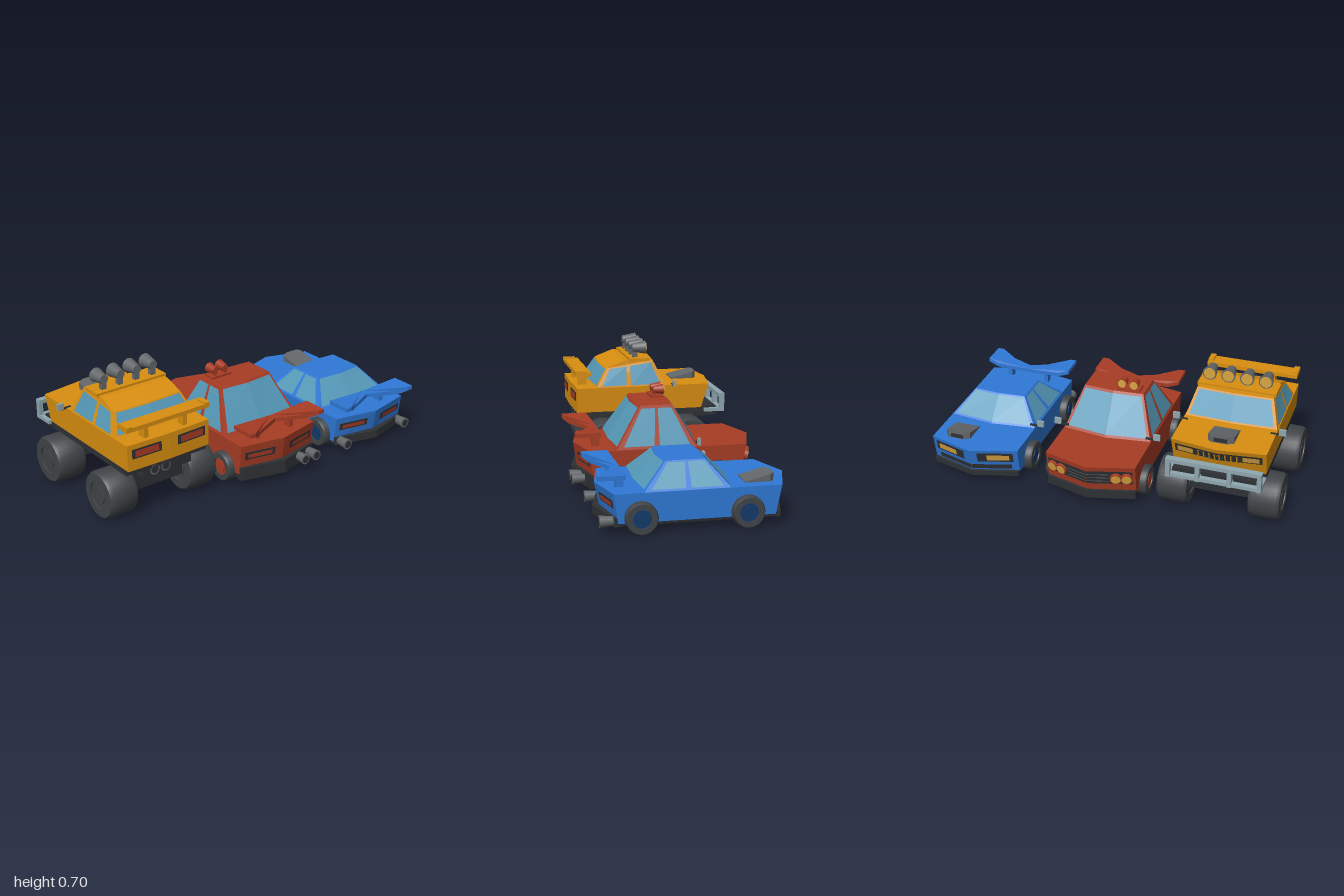
import * as THREE from 'three';
import { toCreasedNormals } from 'three/addons/utils/BufferGeometryUtils.js';

const mat = (name, color) => Object.assign(new THREE.MeshStandardMaterial({ color }), { name });
const M = {
  amber: mat('amber paint', 0xd98f10), red: mat('red paint', 0xa83c25), blue: mat('blue paint', 0x2f78d6),
  glass: mat('glass', 0x5599b8), trim: mat('dark trim', 0x2e3134), tyre: mat('tyre rubber', 0x404448),
  grey: mat('grey metal', 0x64686b), steel: mat('light steel', 0x8fa6ae), lens: mat('lamp lens', 0xd9a441),
  navy: mat('navy rim', 0x123a6b),
};

function add(group, name, geo, material, x = 0, y = 0, z = 0) {
  const m = new THREE.Mesh(geo, material);
  m.name = name;
  m.position.set(x, y, z);
  group.add(m);
  return m;
}
const box = (g, name, material, w, h, d, x, y, z) => add(g, name, new THREE.BoxGeometry(w, h, d), material, x, y, z);

function flat(points) {
  const geo = new THREE.BufferGeometry().setFromPoints(points);
  geo.computeVertexNormals();
  return geo;
}

// Six-point plan outline with pointed nose (-z) and tail (+z), clockwise from above
const ring = (hw, nose, noseMid, tail, tailMid, yNose, yTail = yNose) => [
  [-hw, yNose, nose], [0, yNose, noseMid], [hw, yNose, nose],
  [hw, yTail, tail], [0, yTail, tailMid], [-hw, yTail, tail],
].map((p) => new THREE.Vector3(...p));

// Solid joining a lower and an upper outline
function prism(b, t) {
  const n = b.length, v = [];
  for (let i = 0; i < n; i++) {
    const j = (i + 1) % n;
    v.push(b[j], b[i], t[i], b[j], t[i], t[j]);
    if (i > 0 && i < n - 1) v.push(t[0], t[j], t[i], b[0], b[i], b[j]);
  }
  return flat(v);
}

// Point and normal on face f of a prism, u left to right from outside, w upward
function onFace([b, t], f, u, w, lift = 0.004) {
  const j = (f + 1) % b.length;
  const normal = b[f].clone().sub(b[j]).cross(t[f].clone().sub(b[j])).normalize();
  const p = b[j].clone().lerp(b[f], u).lerp(t[j].clone().lerp(t[f], u), w);
  return { p: p.addScaledVector(normal, lift), normal };
}

// Thin painted panel on face f, with its mirror image on the opposite face
const MIRROR = { 1: 0, 2: 5, 3: 4 };
function panels(g, name, hull, f, u0, u1, w0, w1, material, lift = 0.004) {
  for (const [face, l, r] of [[f, u0, u1], [MIRROR[f], 1 - u1, 1 - u0]]) {
    const [a, b, c, d] = [[l, w0], [r, w0], [r, w1], [l, w1]].map((q) => onFace(hull, face, ...q, lift).p);
    add(g, name, flat([a, b, c, a, c, d]), material);
  }
}

function wheels(g, r, width, outer, zs, rim) {
  const h = width / 2, k = r * 0.58;
  const profile = [[k, -h], [r * 0.92, -h], [r, -h + r * 0.15], [r, h - r * 0.15], [r * 0.92, h], [k, h], [k, -h]];
  const tyre = toCreasedNormals(new THREE.LatheGeometry(profile.map((p) => new THREE.Vector2(...p)), 32), 0.6);
  for (const z of zs) for (const s of [-1, 1]) {
    const wheel = new THREE.Group();
    wheel.name = 'wheel';
    add(wheel, 'tyre', tyre, M.tyre);
    add(wheel, 'rim', new THREE.CylinderGeometry(k, k, width - 0.016, 24), rim);
    add(wheel, 'hub', new THREE.CylinderGeometry(k * 0.55, k * 0.65, width - 0.004, 16), rim);
    wheel.rotation.z = -Math.PI / 2;
    wheel.position.set(s * (outer - h), r + 0.004, z);
    g.add(wheel);
  }
}

// Flared round part along z; the front end (-z) has radius rf
function barrel(g, name, material, rf, rb, len, x, y, z) {
  add(g, name, new THREE.CylinderGeometry(rf, rb, len, 20), material, x, y, z).rotation.x = -Math.PI / 2;
}
function roofLamp(g, shell, r, len, x, y, z) {
  barrel(g, 'roof lamp shell', shell, r, r * 0.62, len, x, y, z);
  barrel(g, 'roof lamp lens', M.lens, r * 0.8, r * 0.8, 0.008, x, y, z - len / 2);
}
function exhausts(g, xs, y, z, r) {
  for (const x of xs) {
    barrel(g, 'exhaust pipe', M.grey, r * 0.8, r, 0.07, x, y, z);
    barrel(g, 'exhaust bore', M.trim, r * 0.7, r * 0.7, 0.006, x, y, z + 0.034);
  }
}
function mirrors(g, sides, y, z, material) {
  for (const s of sides) {
    box(g, 'mirror stalk', M.trim, 0.06, 0.01, 0.01, s * 0.255, y - 0.015, z);
    box(g, 'mirror', material, 0.038, 0.035, 0.014, s * 0.288, y, z);
  }
}

// Wedge intake on the bonnet, open towards the nose
function scoop(g, x, y, z) {
  const wedge = (h) => [[-0.05, -0.06], [-0.035, -0.075], [0.05, -0.075], [0.07, -0.055], [0.07, 0.075], [-0.07, 0.075], [-0.07, -0.055]]
    .slice(1).map(([a, c]) => new THREE.Vector3(a, h ? (0.075 - c) * 0.24 + 0.004 : -0.005, c));
  add(g, 'bonnet scoop', prism(wedge(0), wedge(1)), M.grey, x, y, z);
  box(g, 'scoop mouth', M.trim, 0.07, 0.022, 0.006, x, y + 0.015, z - 0.075);
}

// Swept rear wing with raised tips and two posts
function sweptWing(g, paint, y, deck) {
  const half = [[0.19, 0.35], [0.255, 0.36], [0.255, 0.5], [0.22, 0.5], [0.18, 0.47]];
  const plan = [[0, 0.345], ...half, [0, 0.39], ...half.map(([x, z]) => [-x, z]).reverse()];
  const at = (h) => plan.map(([x, z]) => new THREE.Vector3(x, y + h + (Math.abs(x) > 0.21 ? 0.02 : 0), z));
  add(g, 'rear wing', prism(at(-0.022), at(0)), paint);
  for (const s of [-1, 1]) box(g, 'wing post', paint, 0.025, y - deck, 0.045, s * 0.115, (y + deck) / 2 - 0.01, 0.37);
}

function bodyAndCabin(g, paint, body, cabin, pillar) {
  add(g, 'body', prism(...body), paint);
  add(g, 'cabin', prism(...cabin), paint);
  panels(g, 'windscreen', cabin, 1, 0.07, 1, 0.06, 0.94, M.glass);
  panels(g, 'rear window', cabin, 3, 0, 0.93, 0.06, 0.94, M.glass);
  panels(g, 'rear side window', cabin, 2, 0.07, pillar - 0.035, 0.06, 0.93, M.glass);
  panels(g, 'front side window', cabin, 2, pillar + 0.035, 0.93, 0.06, 0.93, M.glass);
}
function tailLights(g, body, w0, w1) {
  panels(g, 'tail light frame', body, 3, 0.2, 0.9, w0, w1, M.trim);
  panels(g, 'tail light', body, 3, 0.27, 0.83, w0 + 0.06, w1 - 0.06, M.red, 0.007);
}
function lowerTrim(g, y0, y1, bumperTop, reach) {
  add(g, 'underbody', prism(ring(0.245, -0.39, -0.47, 0.39, 0.45, y0), ring(0.248, -0.4, -0.48, 0.4, 0.46, y1)), M.trim);
  const rear = (y) => [[-0.252, 0.385], [0.252, 0.385], [0.252, 0.42], [0, 0.487], [-0.252, 0.42]].map(([x, z]) => new THREE.Vector3(x, y, z));
  add(g, 'rear bumper', prism(rear(y0), rear(bumperTop)), M.trim);
  const front = (y) => [[-0.252, reach + 0.07], [0, reach], [0.252, reach + 0.07], [0.252, reach + 0.1], [-0.252, reach + 0.1]]
    .map(([x, z]) => new THREE.Vector3(x, y, z));
  add(g, 'front bumper', prism(front(y0), front(y1 + 0.012)), M.trim);
}

function blueCar(g) {
  const body = [ring(0.252, -0.4, -0.475, 0.4, 0.445, 0.06), ring(0.254, -0.43, -0.51, 0.42, 0.475, 0.21)];
  const cabin = [ring(0.25, -0.17, -0.2, 0.27, 0.285, 0.21), ring(0.15, -0.06, -0.072, 0.14, 0.155, 0.338)];
  bodyAndCabin(g, M.blue, body, cabin, 0.51);
  tailLights(g, body, 0.48, 0.76);
  panels(g, 'headlight frame', body, 1, 0.1, 0.85, 0.5, 0.9, M.trim);
  panels(g, 'headlight', body, 1, 0.18, 0.65, 0.58, 0.82, M.lens, 0.007);
  panels(g, 'lower grille', body, 1, 0.15, 1, 0.16, 0.36, M.trim);
  lowerTrim(g, 0.045, 0.06, 0.09, -0.495);
  wheels(g, 0.083, 0.11, 0.292, [0.287, -0.253], M.navy);
  sweptWing(g, M.blue, 0.283, 0.21);
  scoop(g, 0.115, 0.212, -0.335);
  exhausts(g, [-0.225, 0.225], 0.07, 0.455, 0.03);
  mirrors(g, [-1], 0.242, -0.165, M.steel);
}

function redCar(g) {
  const body = [ring(0.252, -0.41, -0.48, 0.4, 0.45, 0.075), ring(0.254, -0.445, -0.52, 0.42, 0.475, 0.25)];
  const cabin = [ring(0.25, -0.165, -0.2, 0.275, 0.29, 0.25), ring(0.17, -0.045, -0.058, 0.13, 0.145, 0.472)];
  bodyAndCabin(g, M.red, body, cabin, 0.5);
  tailLights(g, body, 0.5, 0.76);
  panels(g, 'grille', body, 1, 0.06, 1, 0.36, 0.86, M.trim);
  for (const w of [0.48, 0.61, 0.74]) panels(g, 'grille bar', body, 1, 0.55, 1, w - 0.015, w + 0.015, M.grey, 0.007);
  // Twin round headlights on each side
  for (const u of [0.18, 0.4]) for (const [f, k] of [[1, u], [0, 1 - u]]) {
    const { p, normal } = onFace(body, f, k, 0.61, 0.008);
    for (const [name, r, h, m] of [['headlight shell', 0.033, 0.02, M.red], ['headlight lens', 0.026, 0.026, M.lens]])
      add(g, name, new THREE.CylinderGeometry(r, r, h, 20), m, p.x, p.y, p.z)
        .quaternion.setFromUnitVectors(new THREE.Vector3(0, 1, 0), normal);
  }
  lowerTrim(g, 0.045, 0.08, 0.12, -0.5);
  wheels(g, 0.083, 0.11, 0.29, [0.28, -0.285], M.red);
  sweptWing(g, M.red, 0.333, 0.25);
  box(g, 'roof lamp bar', M.red, 0.13, 0.014, 0.07, -0.08, 0.478, -0.005);
  for (const x of [-0.113, -0.045]) {
    box(g, 'roof lamp post', M.red, 0.02, 0.03, 0.02, x, 0.49, 0.005);
    roofLamp(g, M.red, 0.029, 0.058, x, 0.514, -0.014);
  }
  exhausts(g, [0.12, 0.2], 0.095, 0.48, 0.029);
  mirrors(g, [-1, 1], 0.287, -0.168, M.steel);
}

function amberTruck(g) {
  const body = [ring(0.25, -0.365, -0.395, 0.38, 0.388, 0.31), ring(0.254, -0.41, -0.446, 0.378, 0.385, 0.453)];
  const cabin = [ring(0.25, -0.15, -0.162, 0.262, 0.275, 0.453), ring(0.208, -0.08, -0.09, 0.195, 0.205, 0.597, 0.56)];
  bodyAndCabin(g, M.amber, body, cabin, 0.46);
  add(g, 'roof', prism(cabin[1], ring(0.204, -0.08, -0.09, 0.09, 0.098, 0.6)), M.amber);
  tailLights(g, body, 0.45, 0.82);
  panels(g, 'grille', body, 1, 0.08, 1, 0.5, 0.85, M.trim);
  panels(g, 'headlight', body, 1, 0.14, 0.48, 0.56, 0.79, M.lens, 0.007);
  for (let u = 0.58; u < 1; u += 0.12) panels(g, 'grille slat', body, 1, u, u + 0.03, 0.54, 0.81, M.amber, 0.007);
  // Straight wing on two posts
  box(g, 'rear wing', M.amber, 0.51, 0.022, 0.085, 0, 0.536, 0.34);
  for (const s of [-1, 1]) {
    box(g, 'wing tip', M.amber, 0.03, 0.02, 0.07, s * 0.24, 0.546, 0.352);
    box(g, 'wing post', M.amber, 0.025, 0.09, 0.05, s * 0.12, 0.485, 0.33);
  }
  scoop(g, 0, 0.456, -0.3);
  // Roof rack with four lamps
  box(g, 'roof rack', M.amber, 0.43, 0.018, 0.12, 0, 0.603, 0);
  for (let i = 0; i < 4; i++) {
    const x = -0.153 + i * 0.102;
    box(g, 'roof lamp post', M.grey, 0.028, 0.05, 0.028, x, 0.63, 0.018);
    roofLamp(g, M.grey, 0.039, 0.08, x, 0.668, -0.006);
  }
  // Ladder frame, axles and drivetrain
  box(g, 'chassis skirt', M.trim, 0.5, 0.04, 0.72, 0, 0.298, 0);
  box(g, 'chassis', M.trim, 0.3, 0.07, 0.78, 0, 0.27, -0.03);
  box(g, 'front frame', M.trim, 0.46, 0.055, 0.12, 0, 0.285, -0.4);
  for (const z of [0.217, -0.28]) {
    add(g, 'axle', new THREE.CylinderGeometry(0.035, 0.035, 0.5, 16), M.trim, 0, 0.14, z).rotation.z = Math.PI / 2;
    box(g, 'axle housing', M.trim, 0.32, 0.13, 0.1, 0, 0.185, z);
  }
  box(g, 'drive shaft', M.trim, 0.06, 0.06, 0.5, 0, 0.16, -0.03);
  wheels(g, 0.129, 0.165, 0.332, [0.217, -0.28], M.tyre);
  exhausts(g, [-0.076, -0.008], 0.262, 0.325, 0.03);
  mirrors(g, [-1, 1], 0.468, -0.193, M.steel);
  // Bull bar
  box(g, 'bull bar top', M.steel, 0.51, 0.022, 0.036, 0, 0.379, -0.492);
  box(g, 'bull bar bottom', M.steel, 0.51, 0.02, 0.03, 0, 0.292, -0.49);
  for (const x of [-0.243, -0.085, 0.085, 0.243]) {
    box(g, 'bull bar upright', M.steel, 0.024, 0.11, 0.03, x, 0.335, -0.493);
    box(g, 'bull bar arm', M.steel, 0.024, 0.02, 0.12, x, 0.292, -0.445);
  }
}

export function createModel() {
  const model = new THREE.Group();
  model.name = 'three cars';
  for (const [name, build, x] of [['amberTruck', amberTruck, -0.668], ['redCar', redCar, 0.024], ['blueCar', blueCar, 0.707]]) {
    const car = new THREE.Group();
    car.name = name;
    build(car);
    car.position.x = x;
    model.add(car);
  }
  return model;
}
